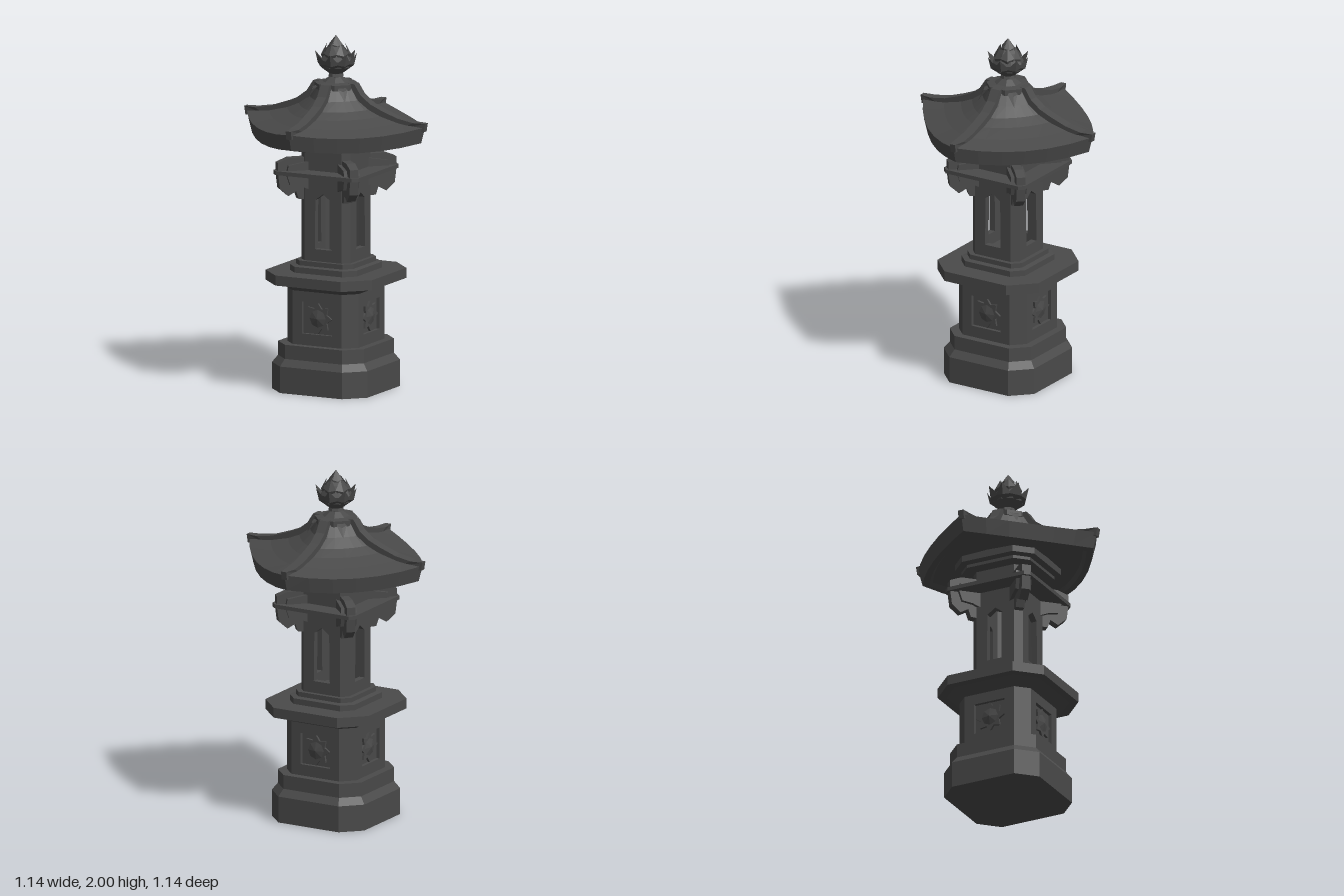
import * as THREE from 'three';

const stone = new THREE.MeshStandardMaterial({ color: 0x4a4a4a, flatShading: true, side: THREE.DoubleSide });
stone.name = 'dark stone';

function add(parent, name, geometry) {
  const mesh = new THREE.Mesh(geometry, stone);
  mesh.name = name;
  parent.add(mesh);
  return mesh;
}

// Closed solid through a stack of rings, listed from bottom to top
function loft(rings) {
  const pos = [];
  const tri = (...pts) => pts.forEach((p) => pos.push(p.x, p.y, p.z));
  const n = rings[0].length;
  const middle = (ring) => ring.reduce((s, p) => s.add(p), new THREE.Vector3()).divideScalar(n);
  const low = rings[0], high = rings[rings.length - 1];
  const lowMid = middle(low), highMid = middle(high);
  for (let i = 0; i < n; i++) {
    const j = (i + 1) % n;
    for (let k = 0; k < rings.length - 1; k++) {
      const a = rings[k], b = rings[k + 1];
      tri(a[i], a[j], b[j]);
      tri(a[i], b[j], b[i]);
    }
    tri(lowMid, low[j], low[i]);
    tri(highMid, high[i], high[j]);
  }
  const g = new THREE.BufferGeometry();
  g.setAttribute('position', new THREE.Float32BufferAttribute(pos, 3));
  g.computeVertexNormals();
  return g;
}

// Octagon with four broad sides: a = distance to side, e = half its width
function octRing([a, e, y]) {
  return [[-e, a], [e, a], [a, e], [a, -e], [e, -a], [-e, -a], [-a, -e], [-a, e]]
    .map(([x, z]) => new THREE.Vector3(x, y, z));
}
const octSolid = (profile) => loft(profile.map(octRing));

function polygon(points, Type = THREE.Shape) {
  return new Type(points.map(([x, y]) => new THREE.Vector2(x, y)));
}
function slab(shape, depth) {
  return new THREE.ExtrudeGeometry(shape, { depth, bevelEnabled: false });
}

// Eight upright walls, the four broad ones pierced by an opening
function octWalls(parent, name, a, e, y0, y1, t, opening) {
  const rect = (w) => polygon([[-w, y0], [w, y0], [w, y1], [-w, y1]]);
  const broad = rect(e);
  broad.holes.push(polygon(opening, THREE.Path));
  const broadGeo = slab(broad, t).translate(0, 0, a - t);
  const narrowGeo = slab(rect((a - e) / Math.SQRT2), t).translate(0, 0, (a + e) / Math.SQRT2 - t);
  for (let i = 0; i < 4; i++) {
    add(parent, name + 'Side', broadGeo).rotation.y = i * Math.PI / 2;
    add(parent, name + 'Corner', narrowGeo).rotation.y = (i + 0.5) * Math.PI / 2;
  }
}

// Folded pointed leaf facing +z: base, middle and tip given as [radius, y]
function petal(base, mid, tip, w) {
  const B = [0, base[1], base[0]], M = [0, mid[1], mid[0]], T = [0, tip[1], tip[0]];
  const L = [-w, mid[1] + 0.01, mid[0] - w * 0.45], R = [w, mid[1] + 0.01, mid[0] - w * 0.45];
  const g = new THREE.BufferGeometry();
  g.setAttribute('position', new THREE.Float32BufferAttribute(
    [B, R, M, M, R, T, B, M, L, L, M, T].flat(), 3));
  g.computeVertexNormals();
  return g;
}
function petals(parent, name, count, offset, geo) {
  for (let i = 0; i < count; i++) add(parent, name, geo).rotation.y = (i + offset) * 2 * Math.PI / count;
}

// Roof outline: bowed square with corners on the axes, corners lifted
function roofRing([k, y, lift]) {
  const ring = [], steps = 6, h = 0.562 / Math.SQRT2;
  for (let q = 0; q < 4; q++) {
    for (let i = 0; i < steps; i++) {
      const s = -1 + 2 * i / steps;
      const p = new THREE.Vector3(s * h, 0, h + 0.058 * (1 - s * s)).multiplyScalar(k);
      p.y = y + lift * s * s;
      ring.push(p.applyAxisAngle(new THREE.Vector3(0, 1, 0), (q + 0.5) * Math.PI / 2));
    }
  }
  return ring;
}

export function createModel() {
  const lantern = new THREE.Group();
  lantern.name = 'stoneLantern';

  // Stepped foot
  add(lantern, 'foot', octSolid([
    [0.3, 0.195, 0], [0.3, 0.195, 0.15], [0.27, 0.18, 0.19], [0.27, 0.18, 0.27]]));

  // Pedestal with a sunken flower panel on each broad side
  const pedestal = new THREE.Group();
  pedestal.name = 'pedestal';
  lantern.add(pedestal);
  octWalls(pedestal, 'pedestal', 0.225, 0.155, 0.27, 0.59, 0.025,
    [[-0.095, 0.335], [0.095, 0.335], [0.095, 0.515], [-0.095, 0.515]]);
  add(pedestal, 'pedestalCore', octSolid([[0.205, 0.14, 0.27], [0.205, 0.14, 0.59]]));
  const star = [];
  for (let i = 0; i < 16; i++) {
    const r = i % 2 ? 0.06 : 0.088, t = i * Math.PI / 8;
    star.push([r * Math.sin(t), 0.425 + r * Math.cos(t)]);
  }
  const flower = slab(polygon(star), 0.014).translate(0, 0, 0.204);
  const heart = new THREE.ConeGeometry(0.055, 0.014, 8).rotateX(Math.PI / 2).translate(0, 0.425, 0.224);
  for (let i = 0; i < 4; i++) {
    add(pedestal, 'carvedFlower', flower).rotation.y = i * Math.PI / 2;
    add(pedestal, 'flowerHeart', heart).rotation.y = i * Math.PI / 2;
  }

  // Wide table with two steps on it
  add(lantern, 'table', octSolid([
    [0.225, 0.155, 0.575], [0.29, 0.185, 0.615], [0.335, 0.205, 0.615], [0.335, 0.205, 0.672]]));
  add(lantern, 'tableSteps', octSolid([
    [0.21, 0.15, 0.67], [0.21, 0.15, 0.705], [0.18, 0.135, 0.71], [0.18, 0.135, 0.737]]));

  // Hollow light chamber with pointed windows
  octWalls(lantern, 'chamber', 0.155, 0.118, 0.735, 1.38, 0.035,
    [[-0.052, 0.805], [0.052, 0.805], [0.048, 1.085], [0, 1.12], [-0.048, 1.085]]);

  // Thin shelf and the corner brackets that carry it
  add(lantern, 'shelf', octSolid([[0.268, 0.24, 1.228], [0.268, 0.24, 1.25]]));
  const outline = polygon([[0.17, 1.08], [0.225, 1.085], [0.24, 1.13], [0.285, 1.105], [0.335, 1.15],
    [0.345, 1.23], [0.345, 1.295], [0.28, 1.32], [0.17, 1.32]]);
  const lobes = polygon([[0.17, 1.14], [0.22, 1.16], [0.28, 1.17], [0.3, 1.23], [0.29, 1.28], [0.17, 1.3]]);
  for (let i = 0; i < 4; i++) {
    const bracket = new THREE.Group();
    bracket.name = 'bracket';
    bracket.rotation.y = (i + 0.5) * Math.PI / 2;
    lantern.add(bracket);
    add(bracket, 'bracketScroll', slab(outline, 0.05).translate(0, 0, -0.025));
    add(bracket, 'bracketLobes', slab(lobes, 0.09).translate(0, 0, -0.045));
  }

  // Flared steps under the roof
  add(lantern, 'roofSupport', octSolid([
    [0.175, 0.125, 1.362], [0.215, 0.145, 1.37], [0.215, 0.145, 1.388],
    [0.25, 0.16, 1.395], [0.25, 0.16, 1.44]]));

  // Curved roof
  const roof = new THREE.Group();
  roof.name = 'roof';
  lantern.add(roof);
  add(roof, 'roofShell', loft([
    [0.84, 1.43, 0.01], [0.88, 1.408, 0.015], [0.955, 1.408, 0.025], [1, 1.495, 0.03], [0.75, 1.525, 0.017],
    [0.55, 1.56, 0.01], [0.42, 1.595, 0.005], [0.3, 1.645, 0], [0.21, 1.725, 0]].map(roofRing)));

  // Ridges along the four corners, narrowing to their tips
  const ridgeShape = polygon([[0.08, 1.735], [0.13, 1.735], [0.17, 1.675], [0.23, 1.63], [0.3, 1.6],
    [0.4, 1.565], [0.5, 1.548], [0.57, 1.548], [0.562, 1.5], [0.42, 1.51], [0.25, 1.57], [0.08, 1.66]]);
  const ridge = slab(ridgeShape, 0.056).translate(0, 0, -0.028);
  const rp = ridge.attributes.position;
  for (let i = 0; i < rp.count; i++) {
    const x = rp.getX(i);
    if (x > 0.5) rp.setZ(i, rp.getZ(i) * 0.6);
  }
  ridge.computeVertexNormals();
  for (let i = 0; i < 4; i++) add(roof, 'roofRidge', ridge).rotation.y = i * Math.PI / 2;

  // Crown of the roof with drooping leaves
  add(roof, 'roofCrown', octSolid([
    [0.11, 0.05, 1.7], [0.11, 0.05, 1.732], [0.07, 0.03, 1.738], [0.035, 0.015, 1.765], [0.035, 0.015, 1.785]]));
  petals(roof, 'crownLeaf', 4, 0.5, petal([0.168, 1.645], [0.14, 1.7], [0.07, 1.74], 0.028));

  // Lotus finial
  const finial = new THREE.Group();
  finial.name = 'finial';
  lantern.add(finial);
  add(finial, 'finialBud', new THREE.LatheGeometry([[0, 1.76], [0.045, 1.768], [0.04, 1.785], [0.085, 1.82],
    [0.09, 1.86], [0.055, 1.92], [0, 1.98]].map(([x, y]) => new THREE.Vector2(x, y)), 8));
  petals(finial, 'outerPetal', 8, 0.25, petal([0.035, 1.782], [0.105, 1.835], [0.122, 1.905], 0.045));
  petals(finial, 'innerPetal', 6, 0, petal([0.06, 1.83], [0.085, 1.89], [0.05, 1.955], 0.04));
  petals(finial, 'tipPetal', 4, 0.5, petal([0.04, 1.9], [0.04, 1.94], [0, 2.0], 0.03));

  return lantern;
}
